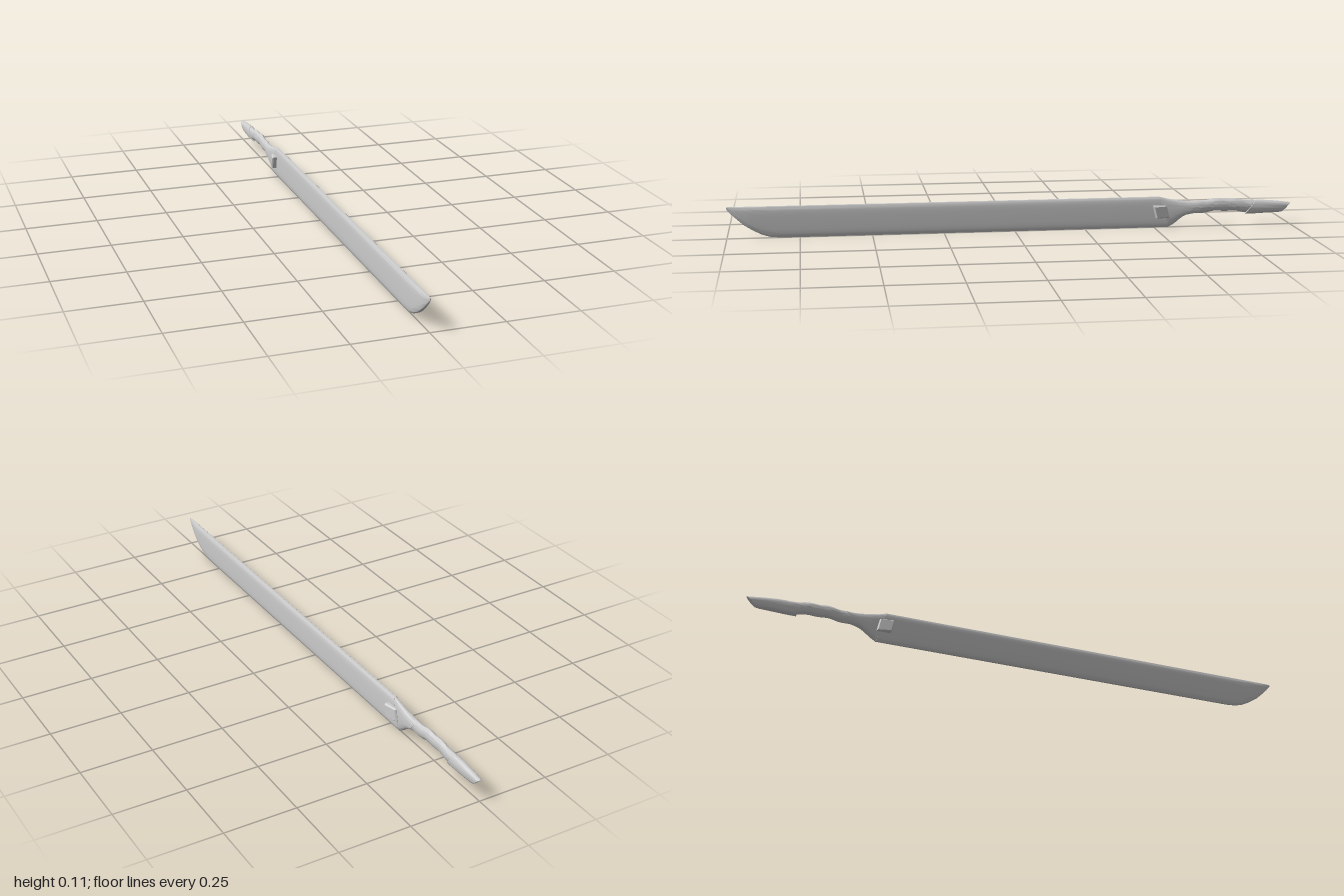
import * as THREE from 'three';
import { toCreasedNormals } from 'three/addons/utils/BufferGeometryUtils.js';

const material = new THREE.MeshStandardMaterial({ color: 0xcccccc });

// Closed superellipse loft along -z. Section: [z, bottom, top, halfWidth, slant]
function loft(name, sections, power, sides = 32, ripple = () => 1) {
  const pos = [], idx = [];
  for (const [z, bottom, top, hx, slant = 0] of sections) {
    const yc = (top + bottom) / 2, hy = (top - bottom) / 2;
    for (let j = 0; j < sides; j++) {
      const a = (j / sides) * Math.PI * 2, c = Math.cos(a), s = Math.sin(a);
      const r = ripple(a, z);
      const px = Math.sign(c) * Math.abs(c) ** (2 / power);
      const py = Math.sign(s) * Math.abs(s) ** (2 / power);
      pos.push(px * hx * r, yc + py * hy * r, z + py * slant);
    }
  }
  const n = sections.length;
  for (let i = 0; i < n - 1; i++) {
    for (let j = 0; j < sides; j++) {
      const a = i * sides + j, b = i * sides + (j + 1) % sides;
      idx.push(a, a + sides, b, b, a + sides, b + sides);
    }
  }
  // end caps
  for (const [i, flip] of [[0, false], [n - 1, true]]) {
    const [z, bottom, top] = sections[i], centre = pos.length / 3;
    pos.push(0, (bottom + top) / 2, z);
    for (let j = 0; j < sides; j++) {
      const a = i * sides + j, b = i * sides + (j + 1) % sides;
      idx.push(centre, flip ? b : a, flip ? a : b);
    }
  }
  const geo = new THREE.BufferGeometry();
  geo.setAttribute('position', new THREE.Float32BufferAttribute(pos, 3));
  geo.setIndex(idx);
  const mesh = new THREE.Mesh(toCreasedNormals(geo, 0.6), material);
  mesh.name = name;
  return mesh;
}

// Skewed, wedge-shaped stud, thicker towards the blade, with a bevelled face
function stud(side) {
  const geo = new THREE.BoxGeometry(1, 1, 1, 2, 1, 1);
  const p = geo.attributes.position;
  for (let i = 0; i < p.count; i++) {
    const out = p.getX(i) + 0.5, front = p.getZ(i) > 0;
    const inset = out > 0.9 ? 0.84 : 1;
    const reach = front ? 0.028 : 0.017;
    const x = out > 0.9 ? reach : out > 0.4 ? reach - 0.005 : 0;
    const v = p.getY(i) * inset;
    p.setXYZ(i, x, 0.058 + v * 0.045, -0.523 + p.getZ(i) * inset * 0.05 + v * 0.011);
  }
  const mesh = new THREE.Mesh(toCreasedNormals(geo, 0.3), material);
  mesh.name = side > 0 ? 'leftStud' : 'rightStud';
  // a half turn about z, not a mirror, would invert the skew, so flip the scale
  mesh.scale.x = side;
  return mesh;
}

export function createModel() {
  const group = new THREE.Group();
  group.name = 'machete';

  // Long blade with a swept-up, thinning tip
  group.add(loft('blade', [
    [1.0, 0.104, 0.111, 0.001], [0.985, 0.087, 0.111, 0.004],
    [0.965, 0.068, 0.111, 0.007], [0.94, 0.046, 0.111, 0.009],
    [0.91, 0.027, 0.111, 0.01], [0.88, 0.012, 0.111, 0.01],
    [0.85, 0.003, 0.111, 0.01], [0.81, 0, 0.111, 0.01],
    [-0.535, 0, 0.111, 0.01, 0.017],
  ], 3.5));

  // Collar narrowing from blade to grip, ending on a slant
  group.add(loft('collar', [
    [-0.535, 0, 0.111, 0.01, 0.017], [-0.56, 0.012, 0.103, 0.012, 0.012],
    [-0.59, 0.027, 0.095, 0.0135, 0], [-0.615, 0.037, 0.091, 0.014, -0.012],
    [-0.638, 0.043, 0.091, 0.014, -0.022],
  ], 2.6));

  // Arched grip with a spiral swell
  const arch = new THREE.SplineCurve([
    [-0.62, 0.066], [-0.68, 0.072], [-0.74, 0.077], [-0.8, 0.074], [-0.87, 0.066],
  ].map(([z, y]) => new THREE.Vector2(z, y)));
  const gripSections = arch.getPoints(36).map(({ x: z, y }) => [z, y - 0.0225, y + 0.0225, 0.0125]);
  group.add(loft('grip', gripSections, 2, 32, (a, z) => 1 + 0.07 * Math.cos(a - z * 85)));

  // Tapered pommel, slanted at both ends
  group.add(loft('pommel', [
    [-0.85, 0.041, 0.091, 0.0145, -0.02], [-0.88, 0.041, 0.09, 0.0145, -0.019],
    [-0.93, 0.043, 0.086, 0.0135, -0.017], [-0.97, 0.044, 0.081, 0.011, -0.016],
    [-0.984, 0.046, 0.079, 0.009, -0.016],
  ], 2.3));

  // Studs on both faces at the blade root
  for (const side of [-1, 1]) group.add(stud(side));
  return group;
}
